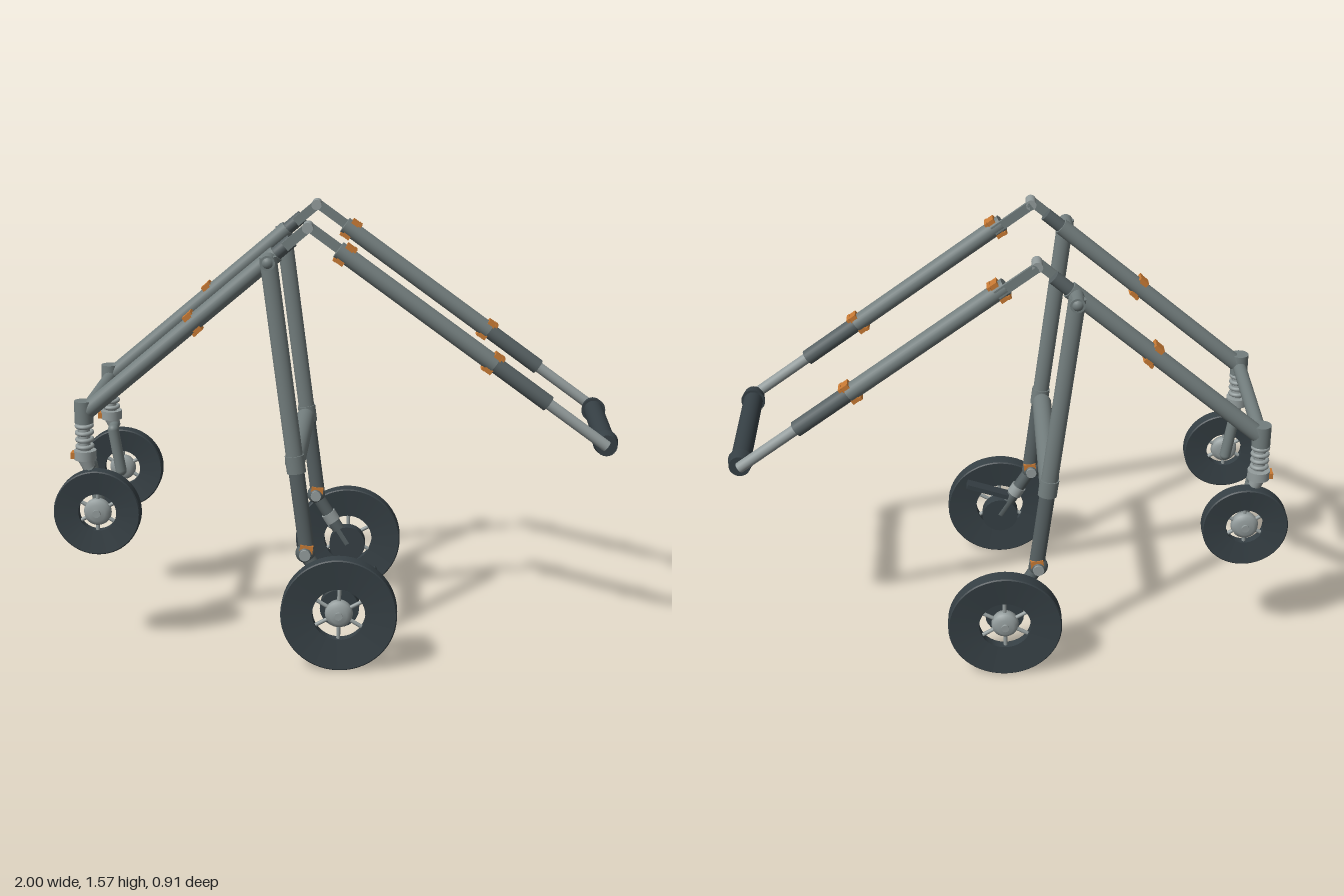
import * as THREE from 'three';
import { toCreasedNormals } from 'three/addons/utils/BufferGeometryUtils.js';

const mat = (name, color) => new THREE.MeshStandardMaterial({ name, color });
const V = (x, y, z) => new THREE.Vector3(x, y, z);
const UP = V(0, 1, 0);

export function createModel() {
  const model = new THREE.Group();
  model.name = 'wheeledWalkerFrame';
  const steel = mat('greySteel', 0x737e7e);
  const darkSteel = mat('darkSteel', 0x576163);
  const light = mat('lightMetal', 0x949d9d);
  const rubber = mat('darkRubber', 0x364045);
  const orange = mat('orangeClip', 0xc87a34);

  function add(parent, name, geo, material, pos) {
    const m = new THREE.Mesh(geo, material);
    m.name = name;
    if (pos) m.position.copy(pos);
    parent.add(m);
    return m;
  }
  // Round bar from a to b
  function rod(parent, name, a, b, r, material, r2 = r) {
    const d = b.clone().sub(a);
    const m = add(parent, name, new THREE.CylinderGeometry(r2, r, d.length(), 24), material,
      a.clone().add(b).multiplyScalar(0.5));
    m.quaternion.setFromUnitVectors(UP, d.normalize());
    return m;
  }
  // Flat bar in the xy plane from a to b
  function bar(parent, name, a, b, height, depth, material) {
    const d = b.clone().sub(a);
    const m = add(parent, name, new THREE.BoxGeometry(d.length(), height, depth), material,
      a.clone().add(b).multiplyScalar(0.5));
    m.rotation.z = Math.atan2(d.y, d.x);
    return m;
  }
  const ball = (parent, name, p, r, material) =>
    add(parent, name, new THREE.SphereGeometry(r, 24, 16), material, p);

  // Spring clip: a block through the tube that shows above and below it
  function clip(parent, p, angle) {
    const g = new THREE.Group();
    g.name = 'adjusterClip';
    g.position.copy(p);
    g.rotation.z = angle;
    add(g, 'clipTabs', new THREE.BoxGeometry(0.03, 0.076, 0.044), orange);
    for (const s of [-1, 1])
      add(g, 'clipFin', new THREE.BoxGeometry(0.012, 0.012, 0.05), orange, V(s * 0.018, s * 0.033, 0));
    parent.add(g);
  }

  // Dished tyre, open spokes and domed hub, axle along z
  function wheel(parent, name, p, R, hole, half) {
    const g = new THREE.Group();
    g.name = name;
    g.position.copy(p);
    const inner = half * 0.6;
    const profile = [[hole, -inner], [R - 0.004, -half], [R, -half + 0.004], [R, half - 0.004],
      [R - 0.004, half], [hole, inner], [hole, -inner]].map(([x, y]) => new THREE.Vector2(x, y));
    const tyre = toCreasedNormals(new THREE.LatheGeometry(profile, 56), 0.6);
    add(g, 'tyre', tyre.rotateX(Math.PI / 2), rubber);
    const dome = [[0, -half], [0.03, -half], [0.046, -half * 0.6], [0.05, 0], [0.046, half * 0.6],
      [0.03, half], [0, half + 0.002]].map(([x, y]) => new THREE.Vector2(x, y));
    add(g, 'hub', new THREE.LatheGeometry(dome, 32).rotateX(Math.PI / 2), light);
    for (const s of [-1, 1])
      rod(g, 'hubCap', V(0, 0, s * half * 0.6), V(0, 0, s * (half + 0.008)), 0.014, light);
    for (let i = 0; i < 6; i++) {
      const a = i * Math.PI / 3 + 0.5, c = Math.cos(a), s = Math.sin(a);
      rod(g, 'spoke', V(c * 0.04, s * 0.04, 0), V(c * (hole + 0.005), s * (hole + 0.005), 0), 0.007, light);
    }
    parent.add(g);
  }

  for (const s of [1, -1]) {
    const side = new THREE.Group();
    side.name = s > 0 ? 'nearSide' : 'farSide';
    model.add(side);
    const z = 0.28 * s, zl = 0.348 * s;
    const apex = V(-0.09, 1.555, z);

    // Rear sloping tube with hinge plate
    const low = V(-0.87, 0.9, z);
    const upper = (t) => low.clone().lerp(apex, t);
    rod(side, 'rearTube', low, upper(0.86), 0.03, steel);
    rod(side, 'rearTubeNeck', upper(0.84), upper(0.93), 0.024, darkSteel);
    bar(side, 'rearHingePlate', upper(0.9).add(V(0, 0, 0.02)), apex.clone().add(V(0, 0, 0.02)), 0.034, 0.012, steel);
    clip(side, upper(0.485), Math.atan2(0.655, 0.78));

    // Handle tube: thick, sleeve, then thin telescoping end
    const grip = V(0.955, 0.79, z);
    const arm = (t) => apex.clone().lerp(grip, t);
    bar(side, 'armHingePlate', apex.clone().add(V(0, 0, -0.023)), arm(0.13).add(V(0, 0, -0.023)), 0.034, 0.012, steel);
    rod(side, 'armTube', arm(0.1), arm(0.62), 0.031, steel);
    rod(side, 'armSleeve', arm(0.62), arm(0.8), 0.029, darkSteel);
    rod(side, 'armExtension', arm(0.79), grip, 0.02, light);
    clip(side, arm(0.122), Math.atan2(-0.765, 1.045));
    clip(side, arm(0.613), Math.atan2(-0.765, 1.045));
    rod(side, 'hingePin', apex.clone().setZ(z - 0.029), apex.clone().setZ(z + 0.029), 0.019, light);

    // Handle end cap
    rod(side, 'gripEndCap', V(0.955, 0.79, 0.225 * s), V(0.955, 0.79, 0.272 * s), 0.045, rubber, 0.038);

    // Main leg: oval tube with pivot at the top
    const top = V(-0.222, 1.462, zl), foot = V(-0.095, 0.42, zl);
    const leg = (t) => top.clone().lerp(foot, t);
    rod(side, 'upperLeg', leg(0), leg(0.7), 0.03, steel).scale.z = 0.8;
    rod(side, 'lowerLeg', leg(0.7), leg(1), 0.028, darkSteel).scale.z = 0.8;
    rod(side, 'legPivot', V(-0.222, 1.445, 0.28 * s), V(-0.222, 1.445, 0.375 * s), 0.026, steel);
    ball(side, 'legPivotKnob', V(-0.222, 1.445, 0.36 * s), 0.024, steel);
    rod(side, 'legCollar', leg(0.67), leg(0.73), 0.034, steel).scale.z = 0.85;

    // Foot joint and swing arm to the large wheel
    const elbow = V(-0.1, 0.405, zl), axle = V(0.022, 0.206, zl);
    bar(side, 'footClip', V(-0.118, 0.428, zl), V(-0.072, 0.422, zl), 0.028, 0.05, orange);
    ball(side, 'footJoint', elbow, 0.035, darkSteel);
    rod(side, 'footJointPin', elbow.clone().setZ(0.312 * s), elbow.clone().setZ(0.384 * s), 0.02, light);
    rod(side, 'swingArm', elbow, axle, 0.024, darkSteel);
    rod(side, 'swingArmRing', elbow.clone().lerp(axle, 0.38), elbow.clone().lerp(axle, 0.55), 0.029, light);
    rod(side, 'swingArmHub', axle.clone().setZ(0.326 * s), axle.clone().setZ(0.373 * s), 0.07, rubber);
    rod(side, 'axle', axle, axle.clone().setZ(0.42 * s), 0.02, light);
    wheel(side, 'largeWheel', V(0.022, 0.206, 0.419 * s), 0.206, 0.094, 0.029);

    // Sprung caster
    const cx = -0.885;
    rod(side, 'casterHead', V(cx, 0.855, z), V(cx, 0.935, z), 0.033, steel);
    rod(side, 'casterStem', V(cx, 0.73, z), V(cx, 0.86, z), 0.02, light);
    for (let i = 0; i < 4; i++)
      add(side, 'springCoil', new THREE.TorusGeometry(0.026, 0.008, 10, 28).rotateX(Math.PI / 2 + 0.08),
        light, V(cx, 0.845 - i * 0.025, z));
    rod(side, 'casterCollar', V(cx, 0.722, z), V(cx, 0.755, z), 0.04, light);
    add(side, 'casterClip', new THREE.BoxGeometry(0.028, 0.022, 0.04), orange, V(cx - 0.035, 0.737, z));
    rod(side, 'casterShoulder', V(cx + 0.012, 0.69, z), V(cx, 0.725, z), 0.022, light, 0.028);
    const armTop = V(-0.872, 0.69, 0.232 * s), armEnd = V(-0.847, 0.527, 0.232 * s);
    rod(side, 'casterYoke', V(-0.874, 0.7, z), armTop, 0.02, steel);
    rod(side, 'casterArm', armTop, armEnd, 0.021, steel);
    ball(side, 'casterArmTop', armTop, 0.021, steel);
    ball(side, 'casterArmEnd', armEnd, 0.021, steel);
    rod(side, 'casterAxle', armEnd, V(-0.847, 0.527, z), 0.016, light);
    wheel(side, 'casterWheel', V(-0.847, 0.527, 0.282 * s), 0.155, 0.068, 0.026);
  }

  // Cross members joining both sides
  rod(model, 'rearCrossBar', V(-0.885, 0.885, -0.28), V(-0.885, 0.885, 0.28), 0.025, steel);
  add(model, 'legCrossBar', new THREE.CapsuleGeometry(0.036, 0.594, 10, 24).rotateX(Math.PI / 2),
    steel, V(-0.138, 0.727, 0));
  rod(model, 'handleGrip', V(0.955, 0.79, -0.23), V(0.955, 0.79, 0.23), 0.036, rubber);

  // Brake pedal on one wheel only
  bar(model, 'brakePedal', V(-0.01, 0.29, 0.345), V(0.152, 0.342, 0.345), 0.018, 0.045, rubber);
  return model;
}
